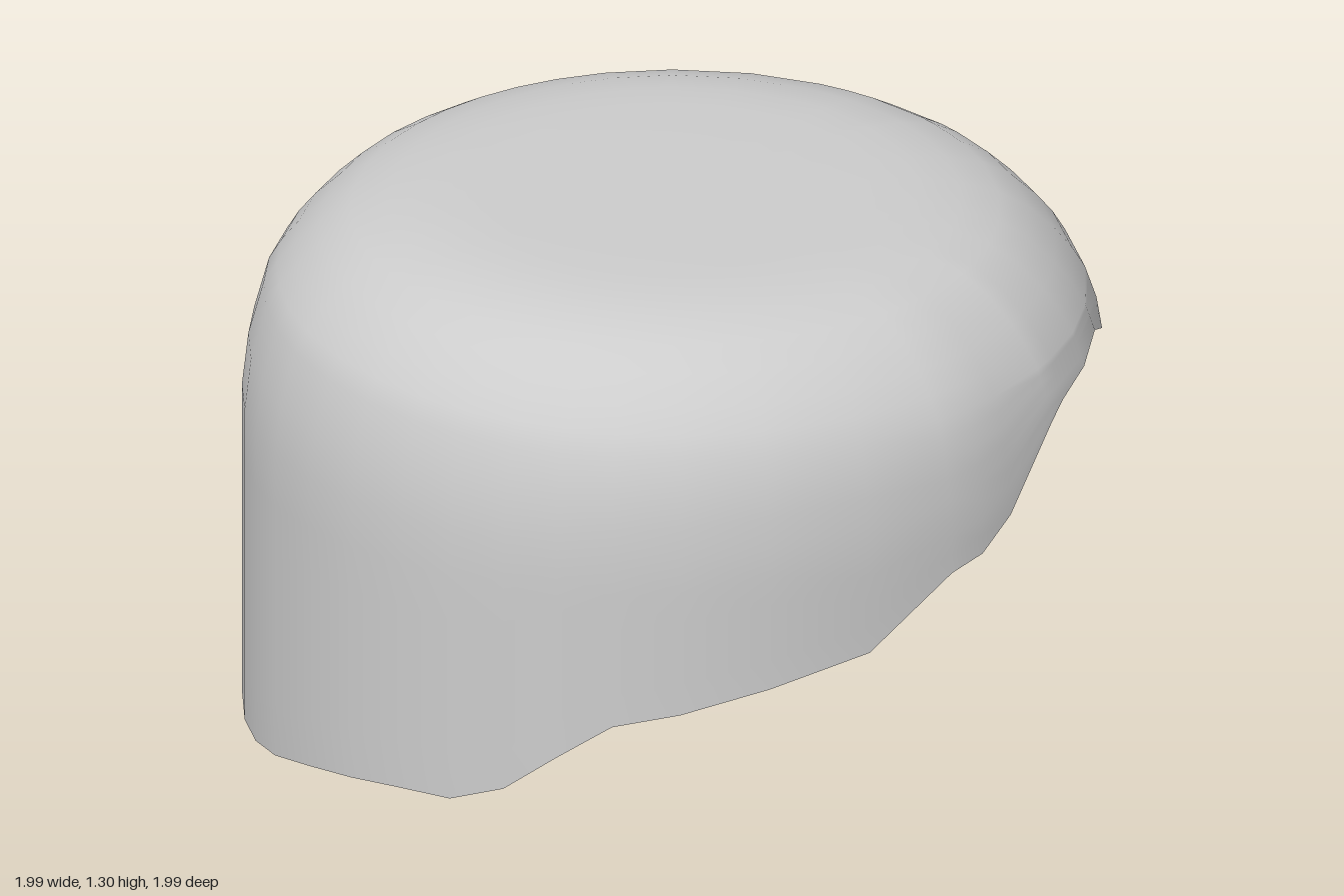
import * as THREE from 'three';

// Hemline for one half: [degrees from +x, height]; mirrored across z
const HEM = [
  [0, 0.89], [12.5, 0.985], [22, 0.968], [31, 0.95], [35, 0.92], [46, 0.765], [51.5, 0.7],
  [57, 0.68], [70, 0.535], [84, 0.48], [96, 0.425], [105, 0.39], [112.5, 0.3], [120, 0.2],
  [128, 0.145], [136, 0.135], [145, 0.11], [154, 0.08], [164, 0.035], [172, 0.01], [180, 0],
];

// Crown profile from the centre outwards: [radius, height]
const CROWN = [
  [0, 1.3], [0.25, 1.3], [0.45, 1.298], [0.56, 1.294], [0.66, 1.278], [0.75, 1.25],
  [0.82, 1.208], [0.88, 1.15], [0.92, 1.1], [0.95, 1.05],
];
const SIDE = [[0.95, 1.05], [0.977, 0.97], [0.99, 0.89], [1, 0.79], [1, 0]];
const SIDE_ROWS = 8;
const THICKNESS = 0.02;

function sideRadius(y) {
  for (let i = 1; i < SIDE.length; i++) {
    const [r0, y0] = SIDE[i - 1], [r1, y1] = SIDE[i];
    if (y >= y1) return THREE.MathUtils.lerp(r0, r1, (y0 - y) / (y0 - y1));
  }
  return 1;
}

// One column of the shell, from the crown centre down to the hem
function column([degrees, hem], inset) {
  const angle = THREE.MathUtils.degToRad(degrees);
  const profile = CROWN.map(([r, y]) => [r * (1 - inset), y - inset]);
  for (let k = 1; k <= SIDE_ROWS; k++) {
    const y = THREE.MathUtils.lerp(1.05, hem, k / SIDE_ROWS);
    const drop = inset * (1 - k / SIDE_ROWS);
    profile.push([sideRadius(y) - inset, y - drop]);
  }
  return profile.map(([r, y]) => [r * Math.cos(angle), y, r * Math.sin(angle)]);
}

// Closed ring of columns joined into a surface
function skin(columns, inward) {
  const rows = columns[0].length, index = [];
  columns.forEach((_, j) => {
    const next = (j + 1) % columns.length;
    for (let i = 0; i < rows - 1; i++) {
      const a = j * rows + i, b = a + 1, c = next * rows + i, d = c + 1;
      if (inward) index.push(a, b, c, c, b, d);
      else index.push(a, c, b, c, d, b);
    }
  });
  const geometry = new THREE.BufferGeometry();
  geometry.setAttribute('position', new THREE.Float32BufferAttribute(columns.flat(2), 3));
  geometry.setIndex(index);
  geometry.computeVertexNormals();
  return geometry;
}

export function createModel() {
  const group = new THREE.Group();
  group.name = 'hairCap';
  const grey = new THREE.MeshStandardMaterial({ color: 0xcccccc });
  grey.name = 'light grey';

  const mirrored = HEM.slice(1, -1).reverse().map(([d, y]) => [360 - d, y]);
  const ring = [...HEM, ...mirrored];
  const outer = ring.map((h) => column(h, 0));
  const inner = ring.map((h) => column(h, THICKNESS));
  const edge = outer.map((c, j) => [c.at(-1), inner[j].at(-1)]);

  const add = (name, geometry) => {
    const mesh = new THREE.Mesh(geometry, grey);
    mesh.name = name;
    group.add(mesh);
  };
  add('outerShell', skin(outer, false));
  add('innerLining', skin(inner, true));
  add('hemEdge', skin(edge, false));
  return group;
}
